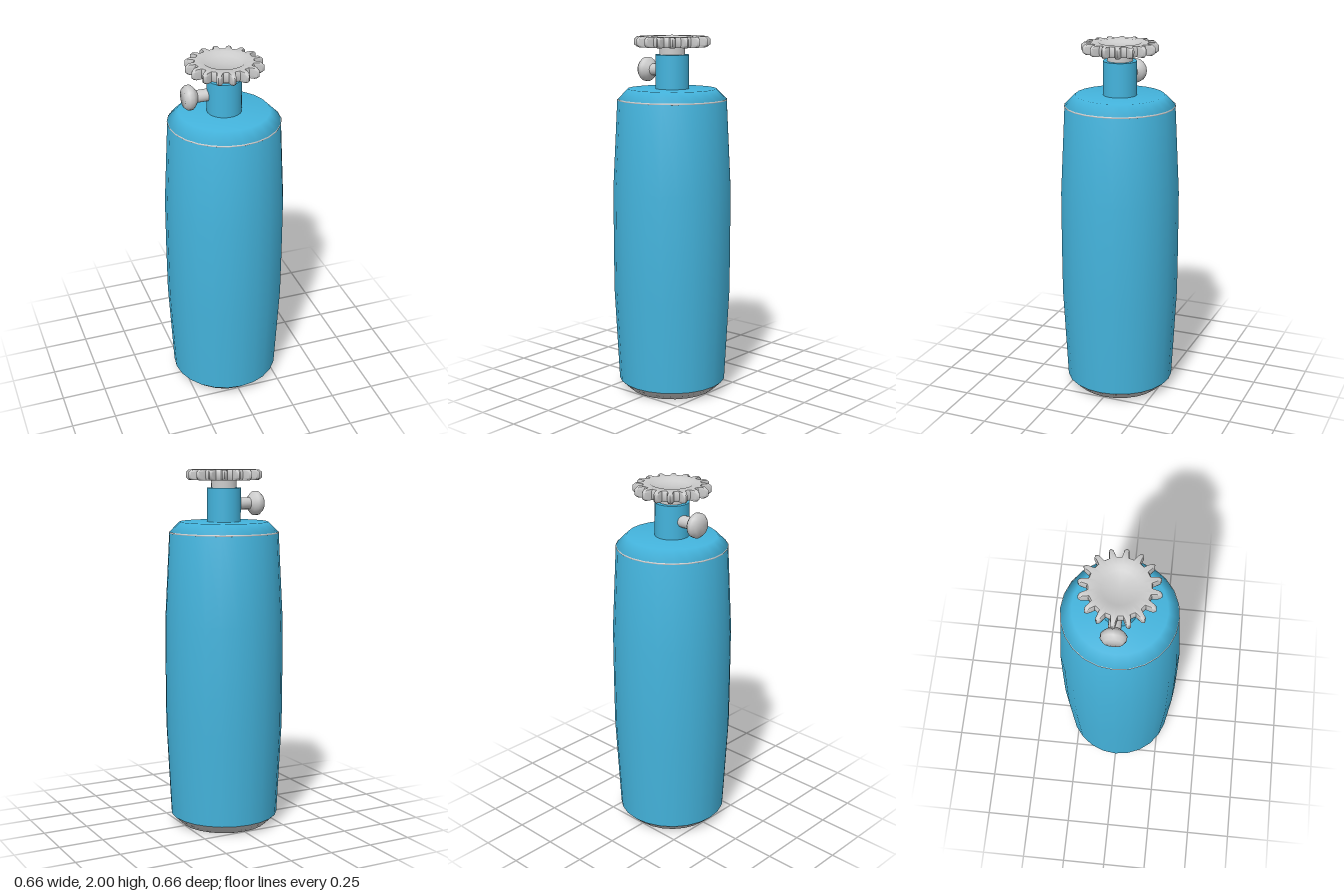
import * as THREE from 'three';
import { mergeVertices, toCreasedNormals } from 'three/addons/utils/BufferGeometryUtils.js';

const blue = new THREE.MeshStandardMaterial({ color: 0x44b4dd });
const grey = new THREE.MeshStandardMaterial({ color: 0xcccccc });

function lathe(points, segments) {
  return new THREE.LatheGeometry(points.map(([r, y]) => new THREE.Vector2(r, y)), segments);
}

function add(group, name, geometry, material) {
  const mesh = new THREE.Mesh(geometry, material);
  mesh.name = name;
  group.add(mesh);
  return mesh;
}

// Toothed wheel: a lathe whose rim columns are pushed out into teeth
function wheelGeometry() {
  // r, y, and how strongly the ring follows the tooth outline
  const profile = [
    [0, 1.945, 0], [0.07, 1.945, 0], [0.115, 1.942, 0], [0.154, 1.942, 0.8],
    [0.16, 1.955, 1], [0.16, 1.986, 1], [0.154, 1.999, 0.8],
    [0.114, 1.999, 0], [0.092, 1.984, 0], [0, 1.984, 0],
  ];
  // angle in degrees and extra radius across one tooth
  const tooth = [[-6.2, 0], [-3.4, 0.039], [0, 0.048], [3.4, 0.039], [6.2, 0]];
  const teeth = 16, columns = teeth * tooth.length, rows = profile.length;
  const geo = lathe(profile, columns);
  const pos = geo.attributes.position;
  for (let i = 0; i <= columns; i++) {
    const c = i % columns;
    const [deg, push] = tooth[c % tooth.length];
    const a = THREE.MathUtils.degToRad(18 + Math.floor(c / tooth.length) * 360 / teeth + deg);
    for (let j = 0; j < rows; j++) {
      const [r, y, follow] = profile[j];
      const radius = r + push * follow;
      pos.setXYZ(i * rows + j, radius * Math.sin(a), y, radius * Math.cos(a));
    }
  }
  geo.deleteAttribute('normal');
  geo.deleteAttribute('uv');
  const merged = mergeVertices(geo, 1e-5);
  return toCreasedNormals(merged, 0.9);
}

export function createModel() {
  const model = new THREE.Group();
  model.name = 'gasCylinder';

  // Tank shell, slightly barrelled, with bevelled shoulder
  add(model, 'tankBody', lathe([
    [0.303, 0.055], [0.329, 0.58], [0.33, 0.87], [0.329, 1.17],
    [0.303, 1.657], [0.245, 1.715], [0, 1.715],
  ], 24), blue);
  add(model, 'base', lathe([[0, 0], [0.245, 0], [0.303, 0.055]], 24), grey);
  // Thin seam line around the shoulder
  add(model, 'shoulderSeam', lathe([[0.3035, 1.653], [0.3055, 1.657], [0.302, 1.661]], 24), grey);

  // Valve neck and the spindle carrying the wheel
  const neck = add(model, 'neck', new THREE.CylinderGeometry(0.093, 0.093, 0.195, 24), blue);
  neck.position.y = 1.8025;
  const spindle = add(model, 'spindle', new THREE.CylinderGeometry(0.07, 0.07, 0.06, 24), grey);
  spindle.position.y = 1.92;
  add(model, 'handWheel', wheelGeometry(), grey);

  // Side outlet: stem and rounded knob pointing to -x
  const outlet = add(model, 'sideOutlet', toCreasedNormals(lathe([
    [0.033, 0.08], [0.033, 0.15], [0.054, 0.165], [0.067, 0.18],
    [0.067, 0.203], [0.05, 0.223], [0, 0.223],
  ], 16), 0.9), grey);
  outlet.rotation.z = Math.PI / 2;
  outlet.position.set(0, 1.812, -0.012);

  return model;
}
